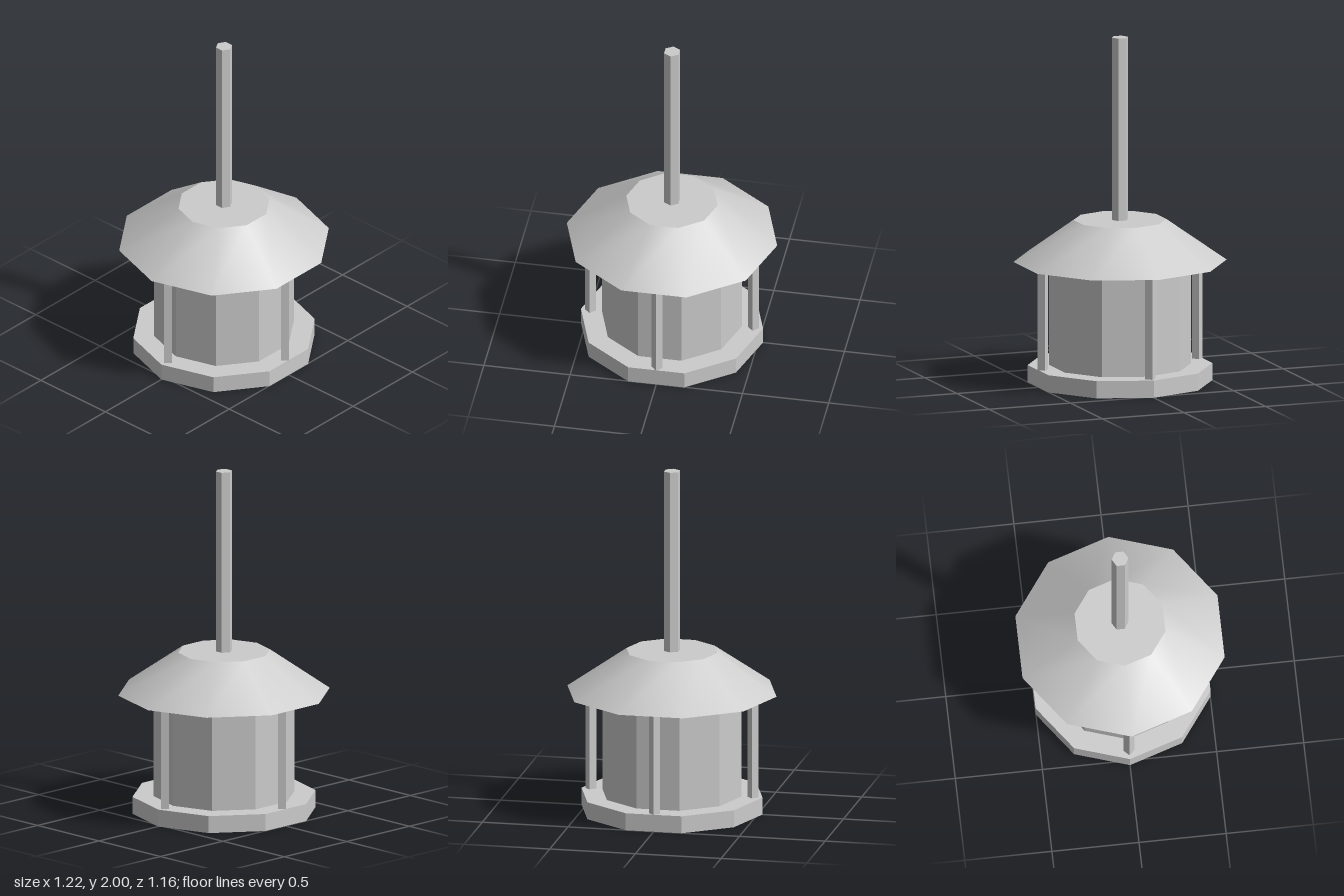
import * as THREE from 'three';

export function createModel() {
  const model = new THREE.Group();
  model.name = 'pavilion';

  const grey = new THREE.MeshStandardMaterial({ color: 0xcccccc });
  grey.name = 'light grey';
  const greyFlat = grey.clone();
  greyFlat.flatShading = true;

  // Upright prism from y0 to y1; start turns its corners about the y axis
  function prism(name, rTop, rBottom, y0, y1, sides, start, material = greyFlat) {
    const geometry = new THREE.CylinderGeometry(rTop, rBottom, y1 - y0, sides, 1, false, start);
    const mesh = new THREE.Mesh(geometry, material);
    mesh.name = name;
    mesh.position.y = (y0 + y1) / 2;
    model.add(mesh);
    return mesh;
  }

  // Ten-sided body with corners on the x axis
  const side = Math.PI / 2;
  prism('base', 0.528, 0.528, 0, 0.1, 10, side);
  prism('drum', 0.406, 0.406, 0.1, 0.7, 10, side);
  prism('roof', 0.265, 0.61, 0.7, 0.94, 10, side, grey);

  // Hexagonal mast
  prism('mast', 0.048, 0.048, 0.94, 2, 6, 0);

  // Four square posts set cornerwise around the drum
  for (let i = 0; i < 4; i++) {
    const a = i * Math.PI / 2;
    const post = prism('post' + (i + 1), 0.032, 0.032, 0.1, 0.7, 4, 0);
    post.position.x = 0.473 * Math.sin(a);
    post.position.z = 0.473 * Math.cos(a);
  }

  return model;
}
